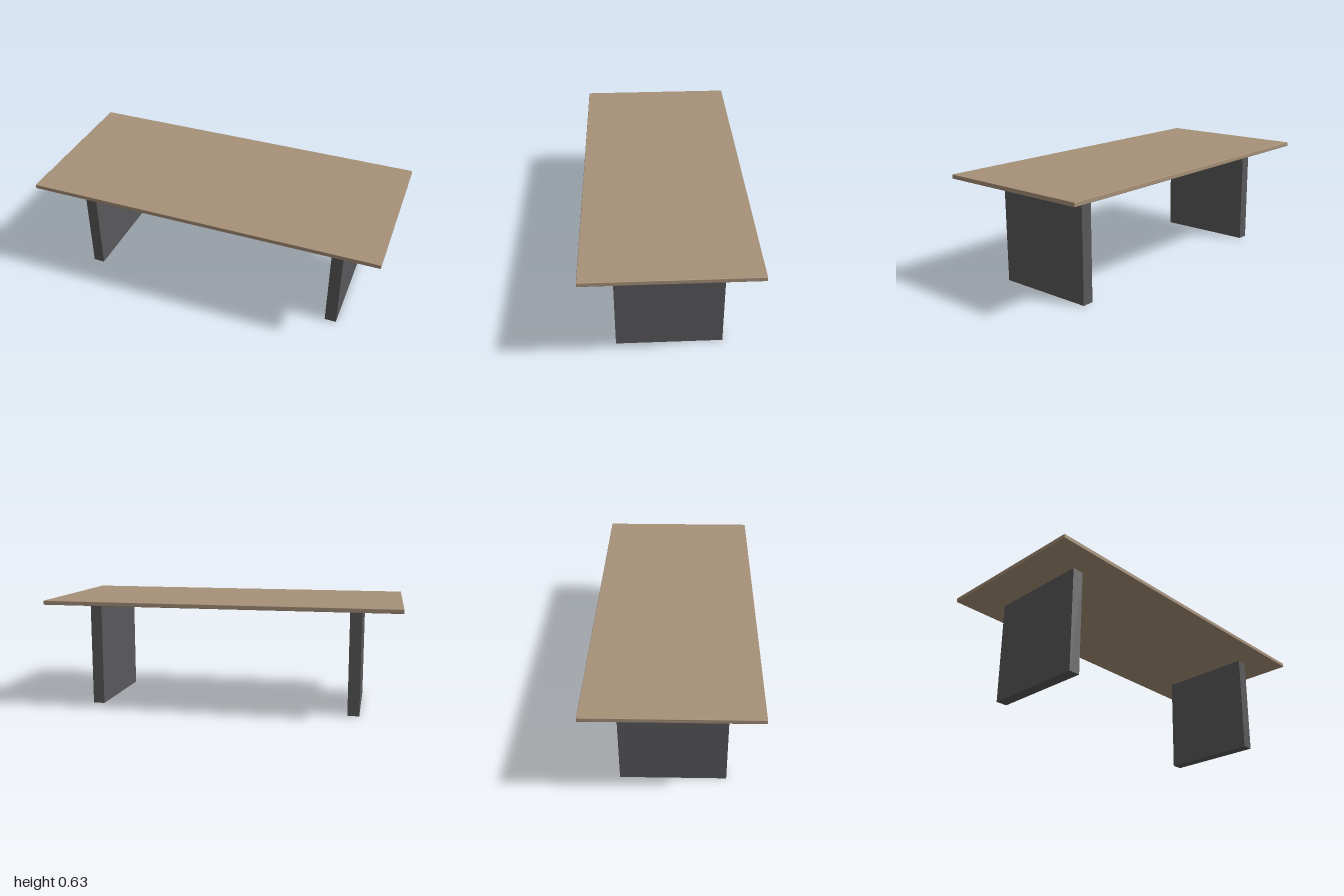
import * as THREE from 'three';
import { RoundedBoxGeometry } from 'three/addons/geometries/RoundedBoxGeometry.js';

const TOP = { width: 2, depth: 0.914, bottom: 0.602, thickness: 0.024 };
const LEG = { x: 0.75, width: 0.066, depth: 0.582 };

export function createModel() {
  const table = new THREE.Group();
  table.name = 'table';

  const wood = new THREE.MeshStandardMaterial({ color: 0xa79179 });
  wood.name = 'wood';
  const charcoal = new THREE.MeshStandardMaterial({ color: 0x59595b });
  charcoal.name = 'charcoal';

  // Thin slab with slightly eased edges
  const tableTop = new THREE.Mesh(
    new RoundedBoxGeometry(TOP.width, TOP.thickness, TOP.depth, 2, 0.003), wood);
  tableTop.name = 'tableTop';
  tableTop.position.y = TOP.bottom + TOP.thickness / 2;
  table.add(tableTop);

  // Mirrored panel legs
  const legGeometry = new THREE.BoxGeometry(LEG.width, TOP.bottom, LEG.depth);
  for (const [name, side] of [['leftLeg', 1], ['rightLeg', -1]]) {
    const leg = new THREE.Mesh(legGeometry, charcoal);
    leg.name = name;
    leg.position.set(side * LEG.x, TOP.bottom / 2, 0);
    table.add(leg);
  }

  return table;
}
